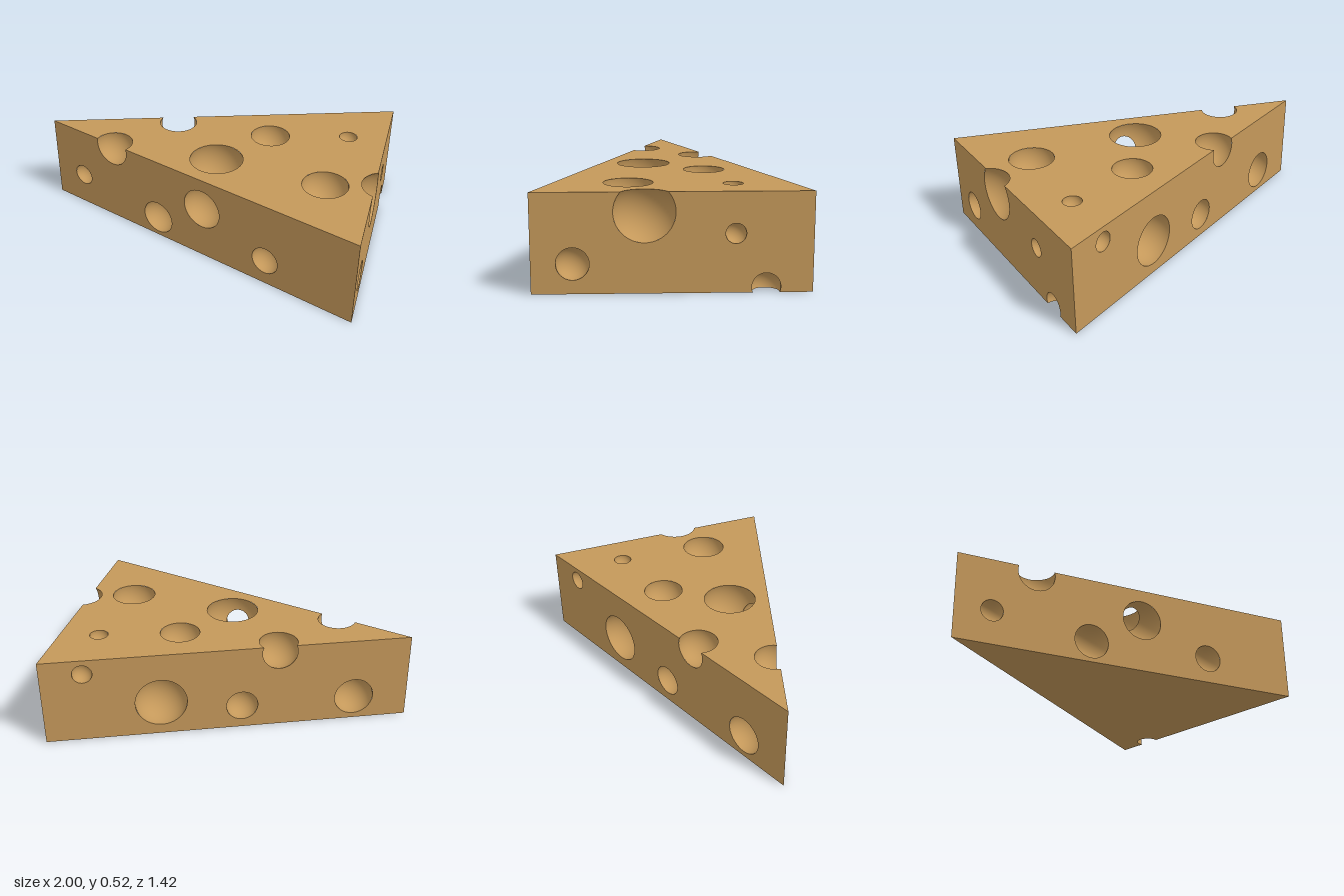
import * as THREE from 'three';

const H = 0.52, W = 0.71;              // height, half width of the thick end
const V = (x, y, z) => new THREE.Vector3(x, y, z);
const material = new THREE.MeshStandardMaterial({ color: 0xc4985a });

// Wedge sides: corners run counter-clockwise seen from outside
const tip = y => V(-1, y, 0), front = y => V(1, y, W), back = y => V(1, y, -W);
const SIDES = {
  topFace: [tip(H), front(H), back(H)],
  bottomFace: [tip(0), back(0), front(0)],
  frontFace: [tip(0), front(0), front(H), tip(H)],
  rindFace: [front(0), back(0), back(H), front(H)],
  backFace: [back(0), tip(0), tip(H), back(H)],
};

// Basis and outward plane of each side
const sides = Object.entries(SIDES).map(([name, corners]) => {
  const u = corners[1].clone().sub(corners[0]).normalize();
  const n = u.clone().cross(corners[2].clone().sub(corners[0])).normalize();
  const v = n.clone().cross(u);
  return { name, corners, u, v, n, d: n.dot(corners[0]) };
});

// Bubble whose opening of radius r lies on a side, its centre sunk a little
const SINK = 0.15;
function bubbleOn(name, x, y, z, r) {
  const R = r / Math.sqrt(1 - SINK * SINK);
  const { n } = sides.find(s => s.name === name);
  return { c: V(x, y, z).addScaledVector(n, -SINK * R), R };
}
const slant = x => (x + 1) * W / 2;
const onTop = (x, z, r) => bubbleOn('topFace', x, H, z, r);
const onFront = (x, y, r) => bubbleOn('frontFace', x, y, slant(x), r);
const onBack = (x, y, r) => bubbleOn('backFace', x, y, -slant(x), r);
const onRind = (z, y, r) => bubbleOn('rindFace', 1, y, z, r);

const bubbles = [
  onTop(0.323, -0.203, 0.115), onTop(0.775, -0.323, 0.053), onTop(0.733, 0.222, 0.13),
  onFront(-0.797, 0.203, 0.064), onFront(-0.24, 0.128, 0.103), onFront(0.473, 0.155, 0.083),
  onBack(0.775, 0.433, 0.056), onBack(0.37, 0.208, 0.149),
  onBack(-0.071, 0.144, 0.092), onBack(-0.698, 0.147, 0.115),
  onRind(0.5, 0.156, 0.084), onRind(-0.317, 0.306, 0.052),
  // two bubbles that run into each other
  { c: V(0.083, 0.46, 0.136), R: 0.165 }, { c: V(0.074, 0.324, 0.35), R: 0.126 },
  // bubbles that cut an edge
  { c: V(-0.257, 0.48, -0.2), R: 0.118 }, { c: V(-0.552, 0.492, 0.134), R: 0.114 },
  { c: V(1.055, 0.418, 0.14), R: 0.166 }, { c: V(0.985, 0.028, -0.473), R: 0.075 },
];

// Flat side with round holes, and notches where a bubble crosses its outline
function sideGeometry({ corners, u, v, n, d }) {
  const flat = p => {
    const q = p.clone().sub(corners[0]);
    return new THREE.Vector2(q.dot(u), q.dot(v));
  };
  const poly = corners.map(flat);
  const circles = bubbles
    .map(b => ({ c: flat(b.c), r2: b.R ** 2 - (n.dot(b.c) - d) ** 2 }))
    .filter(k => k.r2 > 0);
  const outline = [], notched = new Set();
  poly.forEach((p, i) => {
    const q = poly[(i + 1) % poly.length];
    const e = q.clone().sub(p), len = e.length();
    e.normalize();
    outline.push(p);
    const cuts = [];
    for (const k of circles) {
      const rel = k.c.clone().sub(p), t = rel.dot(e), h2 = k.r2 - rel.cross(e) ** 2;
      if (h2 <= 0) continue;
      const h = Math.sqrt(h2);
      if (t - h > 0 && t + h < len) cuts.push({ k, t, h });
    }
    cuts.sort((a, b) => a.t - b.t);
    for (const { k, t, h } of cuts) {
      notched.add(k);
      const ang = s => {
        const w = p.clone().addScaledVector(e, s).sub(k.c);
        return Math.atan2(w.y, w.x);
      };
      const a1 = ang(t - h), r = Math.sqrt(k.r2);
      let a2 = ang(t + h);
      if (a2 > a1) a2 -= Math.PI * 2;
      for (let j = 0; j <= 40; j++) {
        const a = a1 + (a2 - a1) * j / 40;
        outline.push(new THREE.Vector2(k.c.x + r * Math.cos(a), k.c.y + r * Math.sin(a)));
      }
    }
  });
  const shape = new THREE.Shape(outline);
  const inside = c => poly.every((p, i) =>
    poly[(i + 1) % poly.length].clone().sub(p).cross(c.clone().sub(p)) > 0);
  for (const k of circles) {
    if (notched.has(k) || !inside(k.c)) continue;
    shape.holes.push(new THREE.Path().absarc(k.c.x, k.c.y, Math.sqrt(k.r2), 0, Math.PI * 2, true));
  }
  return new THREE.ShapeGeometry(shape, 32)
    .applyMatrix4(new THREE.Matrix4().makeBasis(u, v, n).setPosition(corners[0]));
}

// Keep the part of a polygon where n.p <= d
function clip(poly, { n, d }) {
  const out = [];
  poly.forEach((p, i) => {
    const q = poly[(i + 1) % poly.length];
    const a = n.dot(p) - d, b = n.dot(q) - d;
    if (a <= 0) out.push(p);
    if ((a <= 0) !== (b <= 0)) out.push(p.clone().lerp(q, a / (a - b)));
  });
  return out;
}

// Hollow of a bubble: inward sphere, cut by the sides and by bubbles it meets
function hollowGeometry(b) {
  const planes = [...sides];
  for (const o of bubbles) {
    const n = o.c.clone().sub(b.c), dist = n.length();
    if (o === b || dist >= o.R + b.R) continue;
    n.normalize();
    planes.push({ n, d: n.dot(b.c) + (dist ** 2 + b.R ** 2 - o.R ** 2) / (2 * dist) });
  }
  const ball = new THREE.SphereGeometry(b.R, 56, 36).translate(b.c.x, b.c.y, b.c.z);
  const at = i => new THREE.Vector3().fromBufferAttribute(ball.attributes.position, i);
  const idx = ball.index, pos = [], nor = [];
  for (let i = 0; i < idx.count; i += 3) {
    let poly = [at(idx.getX(i)), at(idx.getX(i + 2)), at(idx.getX(i + 1))];
    for (const plane of planes) poly = clip(poly, plane);
    for (let j = 1; j + 1 < poly.length; j++) {
      for (const p of [poly[0], poly[j], poly[j + 1]]) {
        pos.push(p.x, p.y, p.z);
        nor.push(...b.c.clone().sub(p).normalize().toArray());
      }
    }
  }
  const g = new THREE.BufferGeometry();
  g.setAttribute('position', new THREE.Float32BufferAttribute(pos, 3));
  g.setAttribute('normal', new THREE.Float32BufferAttribute(nor, 3));
  return g;
}

export function createModel() {
  const model = new THREE.Group();
  model.name = 'cheeseWedge';
  const add = (name, geometry) => {
    const mesh = new THREE.Mesh(geometry, material);
    mesh.name = name;
    model.add(mesh);
  };
  for (const s of sides) add(s.name, sideGeometry(s));
  bubbles.forEach((b, i) => add(`bubble${i + 1}`, hollowGeometry(b)));
  return model;
}
